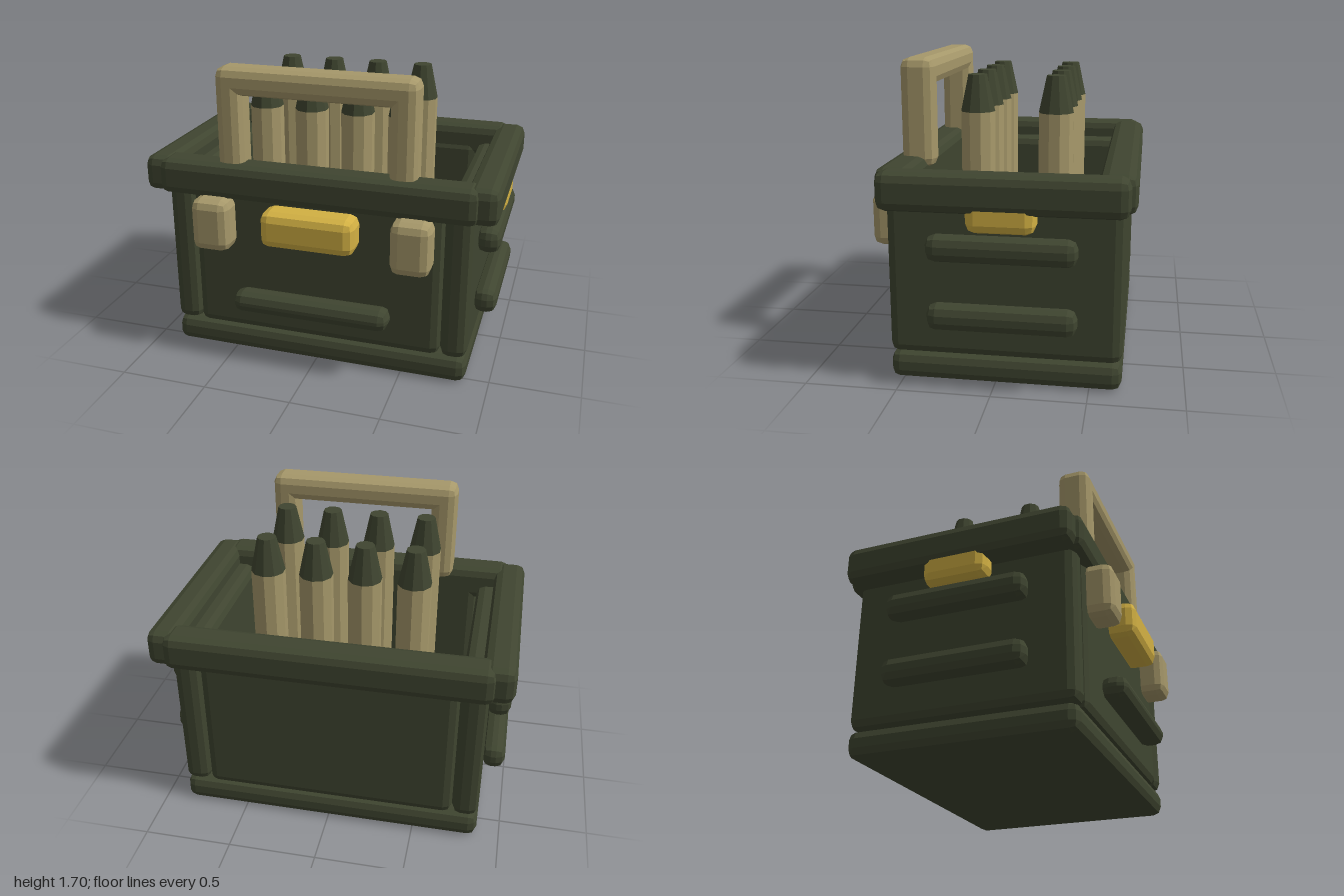
import * as THREE from 'three';
import { RoundedBoxGeometry } from 'three/addons/geometries/RoundedBoxGeometry.js';

const material = (name, color) => {
  const m = new THREE.MeshStandardMaterial({ color });
  m.name = name;
  return m;
};

export function createModel() {
  const olive = material('olive green', 0x3f4530);
  const tan = material('tan', 0xa6986a);
  const brass = material('brass yellow', 0xd2b043);
  const model = new THREE.Group();
  model.name = 'ammunitionCrate';

  const add = (name, geometry, mat, x, y, z) => {
    const mesh = new THREE.Mesh(geometry, mat);
    mesh.name = name;
    mesh.position.set(x, y, z);
    model.add(mesh);
  };

  // Box with faceted bevels, given by its [min, max] extent on each axis
  const block = (name, mat, [x0, x1], [y0, y1], [z0, z1], bevel = 0.05) => {
    const g = new RoundedBoxGeometry(x1 - x0, y1 - y0, z1 - z0, 1, bevel);
    g.computeVertexNormals(); // not indexed, so this gives flat facets
    add(name, g, mat, (x0 + x1) / 2, (y0 + y1) / 2, (z0 + z1) / 2);
  };

  // Same block on the left and right
  const pair = (name, mat, [x0, x1], y, z, bevel) => {
    block(name + 'Left', mat, [x0, x1], y, z, bevel);
    block(name + 'Right', mat, [-x1, -x0], y, z, bevel);
  };

  // Crate body
  block('base', olive, [-0.87, 0.87], [0, 0.15], [-0.67, 0.57]);
  pair('sideWall', olive, [0.72, 0.87], [0.15, 1.06], [-0.67, 0.57]);
  block('frontWall', olive, [-0.72, 0.72], [0.15, 1.06], [0.42, 0.57]);
  block('backWall', olive, [-0.72, 0.72], [0.15, 1.06], [-0.67, -0.52]);

  // Rim
  const rimY = [0.96, 1.165];
  pair('sideRim', olive, [0.82, 1.0], rimY, [-0.695, 0.59]);
  block('frontRim', olive, [-0.9, 0.9], rimY, [0.42, 0.62]);
  block('backRim', olive, [-0.9, 0.9], rimY, [-0.727, -0.53]);

  // Reinforcing ridges
  block('frontRidge', olive, [-0.45, 0.45], [0.315, 0.435], [0.555, 0.7]);
  for (const y of [0.33, 0.7]) {
    pair('sideRidge', olive, [0.86, 0.99], [y, y + 0.14], [-0.44, 0.34]);
  }

  // Latches and plates
  pair('latch', tan, [0.455, 0.675], [0.68, 0.98], [0.53, 0.71]);
  block('frontPlate', brass, [-0.265, 0.265], [0.75, 0.955], [0.53, 0.72]);
  pair('sidePlate', brass, [0.84, 0.99], [0.86, 1.06], [-0.23, 0.13]);

  // Carrying handle
  const handleZ = [0.38, 0.565];
  pair('handlePost', tan, [0.41, 0.56], [1.1, 1.695], handleZ);
  block('handleBar', tan, [-0.56, 0.56], [1.54, 1.695], handleZ);

  // Two rows of four rounds standing on the base
  const flatCylinder = (top, bottom, height) => {
    const g = new THREE.CylinderGeometry(top, bottom, height, 10).toNonIndexed();
    g.computeVertexNormals();
    return g;
  };
  const casing = flatCylinder(0.095, 0.095, 1.25);
  const tip = flatCylinder(0.052, 0.095, 0.2);
  for (const z of [-0.267, 0.163]) {
    for (let i = 0; i < 4; i++) {
      const x = -0.41 + i * 0.273;
      add('roundCasing', casing, tan, x, 0.775, z);
      add('roundTip', tip, olive, x, 1.5, z);
    }
  }
  return model;
}
